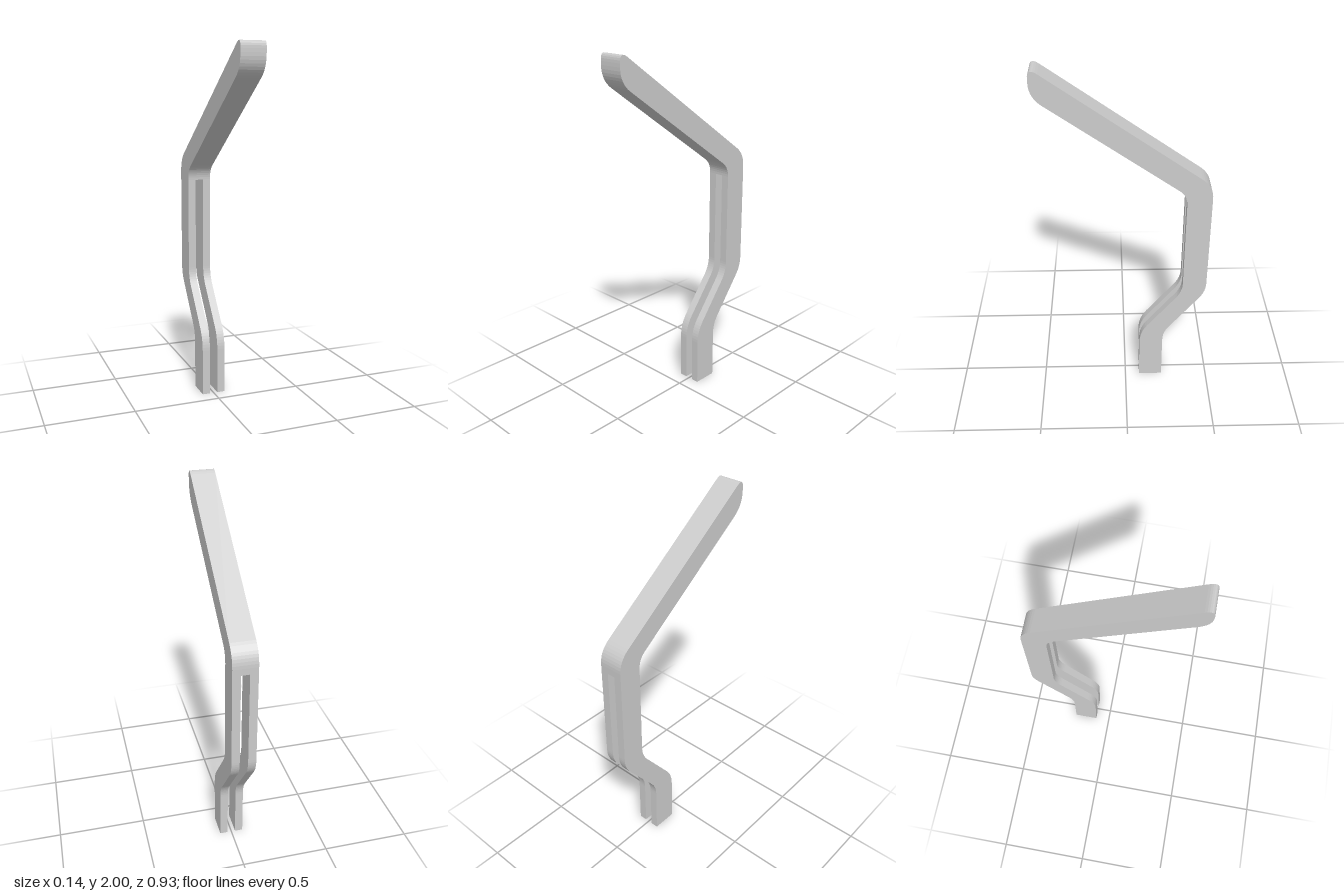
import * as THREE from 'three';

// Closed side profile from corners [z, y, rounding length]
function roundedProfile(corners) {
  const shape = new THREE.Shape();
  const n = corners.length;
  corners.forEach(([z, y, r = 0], i) => {
    const corner = new THREE.Vector2(z, y);
    const toward = ([a, b]) => new THREE.Vector2(a, b).sub(corner).setLength(r).add(corner);
    const start = toward(corners[(i + n - 1) % n]);
    const end = toward(corners[(i + 1) % n]);
    if (i === 0) shape.moveTo(start.x, start.y);
    else shape.lineTo(start.x, start.y);
    if (r > 0) shape.quadraticCurveTo(z, y, end.x, end.y);
  });
  shape.closePath();
  return shape;
}

// Extrude a side profile across x, centred on x = centre
function slab(name, corners, width, centre, material) {
  const geometry = new THREE.ExtrudeGeometry(roundedProfile(corners), {
    depth: width, bevelEnabled: false, curveSegments: 8,
  });
  geometry.rotateY(-Math.PI / 2).translate(centre + width / 2, 0, 0);
  const mesh = new THREE.Mesh(geometry, material);
  mesh.name = name;
  return mesh;
}

export function createModel() {
  const group = new THREE.Group();
  group.name = 'bentHook';
  const material = new THREE.MeshStandardMaterial({ color: 0xcccccc });
  const width = 0.136, slot = 0.046, slotTop = 1.245;
  const prongWidth = (width - slot) / 2;

  // Solid sloping arm with a rounded tip, above the slot
  const arm = [
    [-0.329, slotTop],
    [-0.464, slotTop],
    [-0.464, 1.357, 0.075],
    [0.468, 2.023, 0.06],
    [0.468, 1.869, 0.075],
    [-0.329, 1.302, 0.056],
  ];
  group.add(slab('slopingArm', arm, width, 0, material));

  // Two cranked prongs on either side of the open slot
  const prong = [
    [-0.085, 0],
    [-0.223, 0],
    [-0.223, 0.341, 0.058],
    [-0.464, 0.653, 0.06],
    [-0.464, slotTop],
    [-0.329, slotTop],
    [-0.329, 0.655, 0.06],
    [-0.085, 0.342, 0.073],
  ];
  for (const [name, side] of [['leftProng', 1], ['rightProng', -1]]) {
    group.add(slab(name, prong, prongWidth, side * (slot + prongWidth) / 2, material));
  }
  return group;
}
